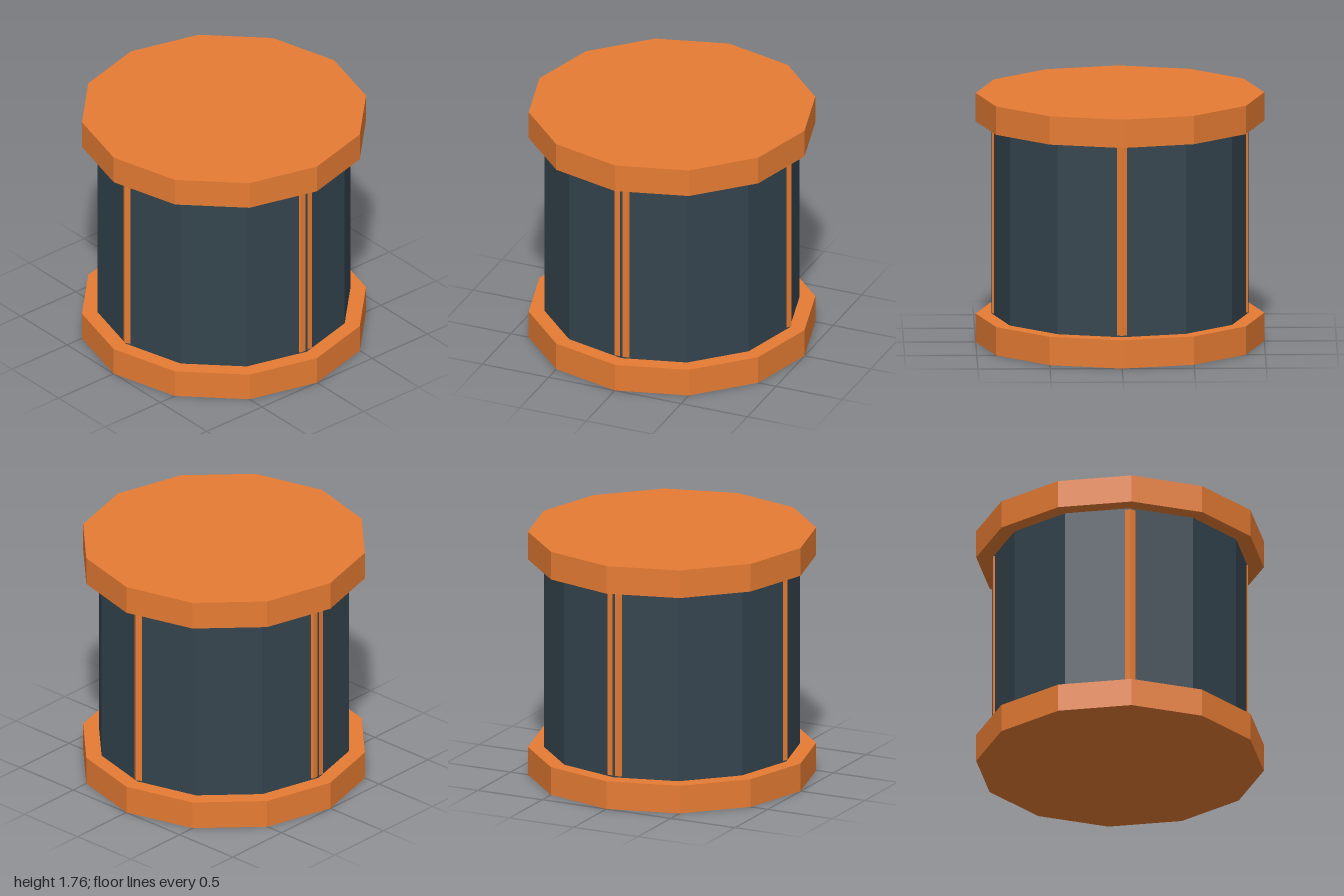
import * as THREE from 'three';

const CAP_HEIGHT = 0.2;
const TOTAL_HEIGHT = 1.756;

export function createModel() {
  const model = new THREE.Group();
  const orange = new THREE.MeshStandardMaterial({ color: 0xe67c33, flatShading: true });
  const slate = new THREE.MeshStandardMaterial({ color: 0x34444e, flatShading: true });

  // Upright prism centred at (x, y, z)
  function addPrism(name, radius, height, sides, material, x, y, z) {
    const mesh = new THREE.Mesh(new THREE.CylinderGeometry(radius, radius, height, sides), material);
    mesh.name = name;
    mesh.position.set(x, y, z);
    model.add(mesh);
  }

  // Twelve-sided drum between two wider end caps
  const middle = TOTAL_HEIGHT / 2;
  addPrism('drum', 0.889, TOTAL_HEIGHT - 2 * CAP_HEIGHT, 12, slate, 0, middle, 0);
  addPrism('bottomCap', 1, CAP_HEIGHT, 12, orange, 0, CAP_HEIGHT / 2, 0);
  addPrism('topCap', 1, CAP_HEIGHT, 12, orange, 0, TOTAL_HEIGHT - CAP_HEIGHT / 2, 0);

  // Hexagonal posts sunk into the drum, just breaking its surface
  const posts = [['frontPost', 0, 1], ['backPost', 0, -1], ['leftPost', 1, 0], ['rightPost', -1, 0]];
  for (const [name, x, z] of posts) {
    addPrism(name, 0.1, 1.333, 6, orange, x * 0.8, middle, z * 0.8);
  }

  return model;
}
